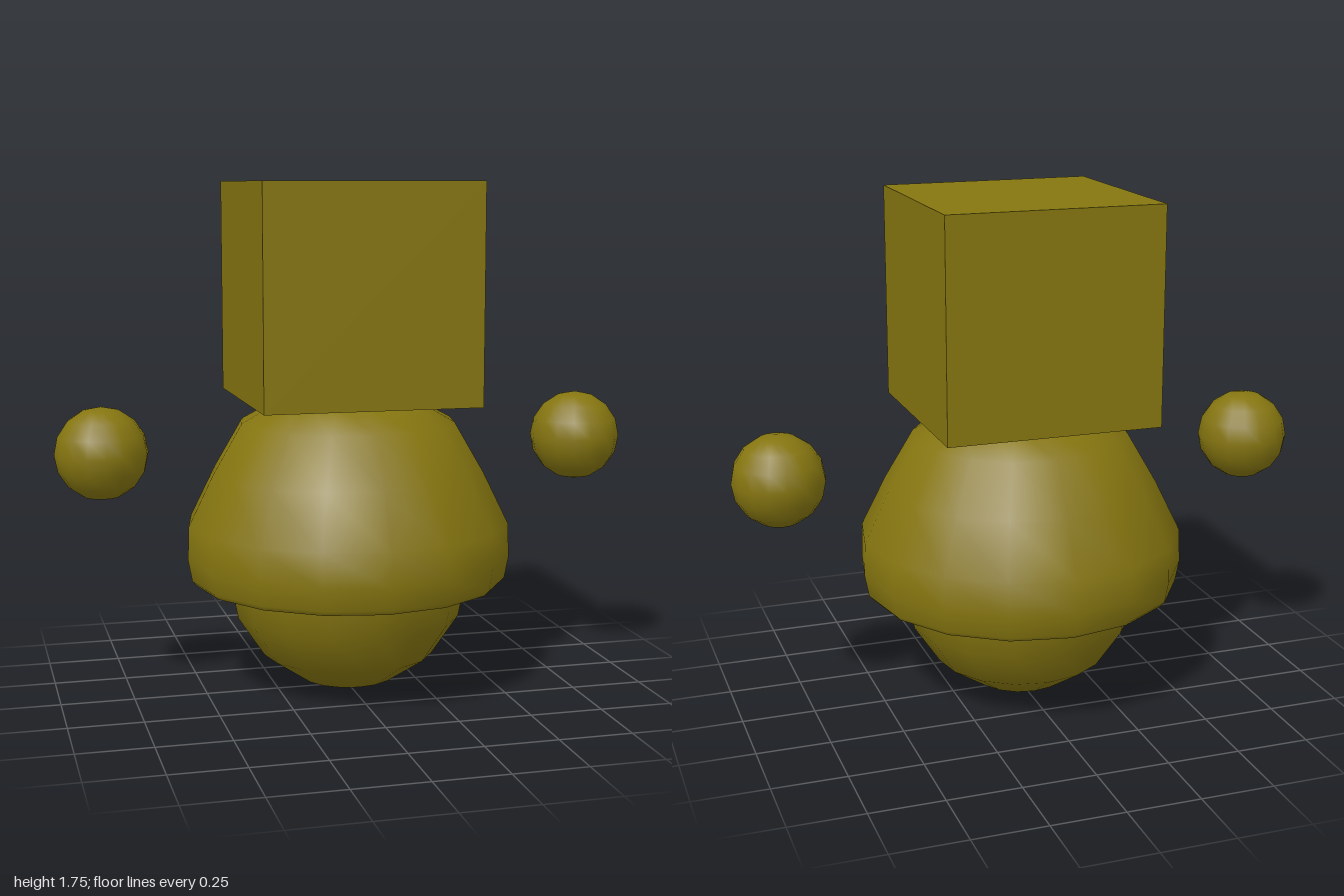
import * as THREE from 'three';

export function createModel() {
  const model = new THREE.Group();
  const material = new THREE.MeshStandardMaterial({ color: 0x857510 });

  const add = (name, geometry, x = 0, y = 0, z = 0) => {
    const mesh = new THREE.Mesh(geometry, material);
    mesh.name = name;
    mesh.position.set(x, y, z);
    model.add(mesh);
    return mesh;
  };
  const lathe = (points) =>
    new THREE.LatheGeometry(points.map(([r, y]) => new THREE.Vector2(r, y)), 16);

  // Cube head resting on the dome
  add('head', new THREE.BoxGeometry(0.735, 0.735, 0.735), 0, 1.383, 0);

  // Domed body with a rounded lower rim
  add('body', lathe([
    [0.53, 0.383], [0.546, 0.4], [0.56, 0.475], [0.556, 0.59],
    [0.47, 0.765], [0.37, 0.937], [0.235, 1.012], [0, 1.04],
  ]));

  // Flat underside of the dome
  add('bodyUnderside', lathe([[0, 0.383], [0.53, 0.383]]));

  // Round base, half hidden in the body
  add('base', new THREE.SphereGeometry(0.42, 16, 8), 0, 0.42, 0);

  // Floating hands
  for (const [name, side] of [['leftHand', 1], ['rightHand', -1]]) {
    add(name, new THREE.SphereGeometry(0.157, 16, 8), side * 0.843, 0.853, -0.013);
  }

  return model;
}
